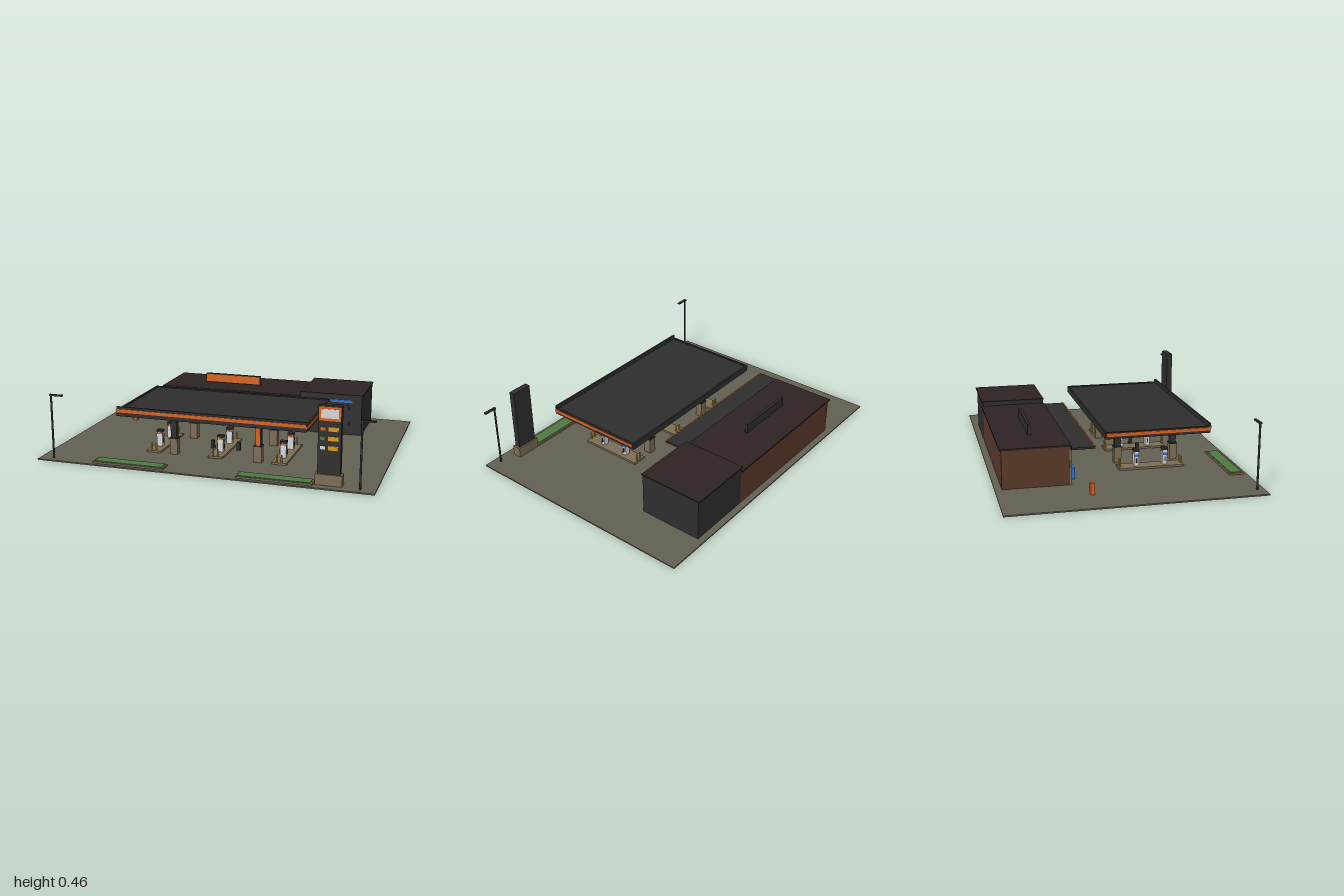
import * as THREE from 'three';

const mat = (name, color) => {
  const m = new THREE.MeshStandardMaterial({ color });
  m.name = name;
  return m;
};

export function createModel() {
  const M = {
    asphalt: mat('asphalt', 0x625f52), dark: mat('charcoal', 0x2e2e2f), roof: mat('roofBrown', 0x2f2323),
    brown: mat('brickBrown', 0x5a3a2a), tan: mat('stoneTan', 0x7d6d55), orange: mat('orange', 0xd9621e),
    white: mat('white', 0xd6d6d6), blue: mat('blue', 0x2f72c8), green: mat('grass', 0x4f7a40),
    yellow: mat('yellow', 0xd89a1e),
  };
  const root = new THREE.Group();
  root.name = 'fuelStation';

  // Box given by its limits on each axis
  const box = (parent, name, m, x0, x1, y0, y1, z0, z1) => {
    const mesh = new THREE.Mesh(new THREE.BoxGeometry(x1 - x0, y1 - y0, z1 - z0), M[m]);
    mesh.name = name;
    mesh.position.set((x0 + x1) / 2, (y0 + y1) / 2, (z0 + z1) / 2);
    parent.add(mesh);
    return mesh;
  };
  const group = (name, x = 0, y = 0, z = 0) => {
    const g = new THREE.Group();
    g.name = name;
    g.position.set(x, y, z);
    root.add(g);
    return g;
  };

  box(root, 'ground', 'asphalt', -1, 1, 0, 0.008, -0.735, 0.735);

  // Shop with front awning and roof sign
  const shop = group('shop');
  box(shop, 'shopWalls', 'brown', -0.61, 0.34, 0.008, 0.233, -0.695, -0.305);
  box(shop, 'shopRoof', 'roof', -0.615, 0.34, 0.233, 0.243, -0.705, -0.3);
  box(shop, 'stonePillar', 'tan', -0.612, -0.5, 0.008, 0.22, -0.31, -0.298);
  box(shop, 'shopWindow', 'dark', -0.46, 0.11, 0.012, 0.19, -0.305, -0.3);
  box(shop, 'awning', 'dark', -0.63, 0.365, 0.218, 0.23, -0.305, -0.17);
  box(shop, 'awningTrim', 'orange', -0.63, 0.365, 0.216, 0.231, -0.17, -0.164);
  box(shop, 'roofSign', 'dark', -0.37, 0.015, 0.243, 0.303, -0.51, -0.493);
  box(shop, 'roofSignFace', 'orange', -0.365, 0.01, 0.248, 0.298, -0.493, -0.489);

  // Taller workshop wing
  const wing = group('workshop');
  box(wing, 'workshopWalls', 'dark', 0.34, 0.74, 0.008, 0.264, -0.695, -0.305);
  box(wing, 'workshopRoof', 'roof', 0.34, 0.745, 0.264, 0.272, -0.705, -0.3);
  box(wing, 'workshopStripe', 'blue', 0.4, 0.68, 0.219, 0.235, -0.305, -0.3);
  box(wing, 'workshopDoor', 'dark', 0.42, 0.66, 0.008, 0.2, -0.305, -0.301);

  // Goods standing outside the shop
  const goods = group('shopFrontGoods');
  box(goods, 'iceChest', 'blue', -0.52, -0.44, 0.008, 0.075, -0.3, -0.262);
  box(goods, 'iceChestLabel', 'white', -0.505, -0.455, 0.022, 0.03, -0.262, -0.26);
  box(goods, 'vendingMachine', 'blue', -0.345, -0.305, 0.008, 0.086, -0.3, -0.265);
  box(goods, 'vendingPanel', 'white', -0.335, -0.315, 0.022, 0.035, -0.265, -0.263);
  box(goods, 'storageBox', 'tan', 0.275, 0.318, 0.008, 0.078, -0.295, -0.255);

  // Small service post
  const post = group('servicePost', -0.785, 0, -0.218);
  box(post, 'postBody', 'orange', -0.014, 0.014, 0.008, 0.073, -0.012, 0.012);
  box(post, 'postPanel', 'white', -0.008, 0.008, 0.045, 0.055, 0.012, 0.014);

  // Canopy: slab, raised rim, taller front fascia and stripe
  const canopy = group('canopy');
  box(canopy, 'canopySlab', 'dark', -0.57, 0.57, 0.252, 0.283, -0.09, 0.52);
  for (const s of [-1, 1]) {
    box(canopy, 'sideFascia', 'dark', s * 0.57 - 0.006, s * 0.57 + 0.006, 0.25, 0.29, -0.096, 0.522);
    box(canopy, 'sideStripe', 'orange', s * 0.578 - 0.003, s * 0.578 + 0.003, 0.265, 0.283, -0.09, 0.528);
  }
  box(canopy, 'rearFascia', 'dark', -0.576, 0.576, 0.25, 0.29, -0.097, -0.087);
  box(canopy, 'frontFascia', 'dark', -0.576, 0.576, 0.25, 0.308, 0.518, 0.529);
  box(canopy, 'frontStripe', 'orange', -0.576, 0.576, 0.274, 0.294, 0.529, 0.533);
  for (const x of [-0.39, 0, 0.39])
    for (const z of [0.13, 0.31])
      box(canopy, 'canopyLight', 'white', x - 0.04, x + 0.04, 0.248, 0.252, z - 0.02, z + 0.02);

  // Canopy columns on stone bases
  for (const x of [-0.262, 0.262]) {
    for (const z of [0.047, 0.395]) {
      const col = group('canopyColumn', x, 0, z);
      box(col, 'columnBase', 'tan', -0.024, 0.024, 0.008, 0.104, -0.022, 0.022);
      box(col, 'columnCap', 'dark', -0.026, 0.026, 0.104, 0.11, -0.025, 0.025);
      box(col, 'columnShaft', 'dark', -0.018, 0.018, 0.11, 0.252, -0.018, 0.018);
      if (x > 0) box(col, 'columnPanel', 'orange', -0.014, 0.014, 0.11, 0.25, 0.018, 0.02);
    }
  }

  // Pump islands, each with two pumps and end bollards
  const bollard = new THREE.CylinderGeometry(0.005, 0.005, 0.045, 10);
  for (const x of [-0.39, 0, 0.39]) {
    const isle = group('pumpIsland', x);
    box(isle, 'islandCurb', 'tan', -0.045, 0.045, 0.008, 0.02, 0.023, 0.418);
    for (const z of [0.132, 0.307]) {
      box(isle, 'pumpBody', 'white', -0.018, 0.018, 0.02, 0.108, z - 0.014, z + 0.014);
      box(isle, 'pumpTop', 'dark', -0.02, 0.02, 0.108, 0.122, z - 0.017, z + 0.017);
      for (const s of [-1, 1]) {
        box(isle, 'pumpBand', 'blue', s * 0.019 - 0.001, s * 0.019 + 0.001, 0.077, 0.093, z - 0.014, z + 0.014);
        box(isle, 'pumpHose', 'dark', s * 0.021 - 0.003, s * 0.021 + 0.003, 0.04, 0.068, z - 0.003, z + 0.003);
        box(isle, 'pumpStripe', 'orange', -0.018, 0.018, 0.096, 0.106, z + s * 0.015 - 0.001, z + s * 0.015 + 0.001);
      }
    }
    for (const z of [0.033, 0.408]) {
      for (const s of [-1, 1]) {
        const b = new THREE.Mesh(bollard, M.yellow);
        b.name = 'bollard';
        b.position.set(s * 0.014, 0.0415, z);
        isle.add(b);
      }
    }
  }
  for (const x of [-0.08, 0.085])
    box(root, 'litterBin', 'dark', x - 0.011, x + 0.011, 0.008, 0.058, 0.211, 0.231);

  // Grass beds with curbs
  for (const s of [-1, 1]) {
    const bed = group('grassBed', s * 0.435, 0, 0.67);
    box(bed, 'bedCurb', 'tan', -0.218, 0.218, 0.008, 0.018, -0.043, 0.043);
    box(bed, 'grass', 'green', -0.208, 0.208, 0.018, 0.022, -0.034, 0.034);
  }

  // Price sign
  const sign = group('priceSign', 0.737, 0, 0.656);
  box(sign, 'signBase', 'tan', -0.076, 0.076, 0.008, 0.07, -0.028, 0.028);
  box(sign, 'signBoard', 'dark', -0.064, 0.064, 0.07, 0.457, -0.018, 0.018);
  box(sign, 'signHeader', 'orange', -0.06, 0.06, 0.37, 0.448, 0.018, 0.02);
  box(sign, 'signHeaderPanel', 'white', -0.048, 0.048, 0.385, 0.436, 0.02, 0.022);
  ['orange', 'green', 'white'].forEach((c, i) => {
    const y = 0.325 - i * 0.053;
    box(sign, 'fuelChip', c, -0.051, -0.023, y - 0.009, y + 0.009, 0.018, 0.021);
    box(sign, 'pricePlate', 'yellow', -0.007, 0.049, y - 0.012, y + 0.012, 0.018, 0.021);
  });

  // Street lamps
  for (const x of [-0.914, 0.914]) {
    const lamp = group('streetLamp', x, 0, 0.692);
    const pole = new THREE.Mesh(new THREE.CylinderGeometry(0.006, 0.006, 0.388, 10), M.dark);
    pole.name = 'lampPole';
    pole.position.y = 0.202;
    lamp.add(pole);
    box(lamp, 'lampArm', 'dark', -0.008, 0.073, 0.388, 0.397, -0.008, 0.008);
  }
  return root;
}
